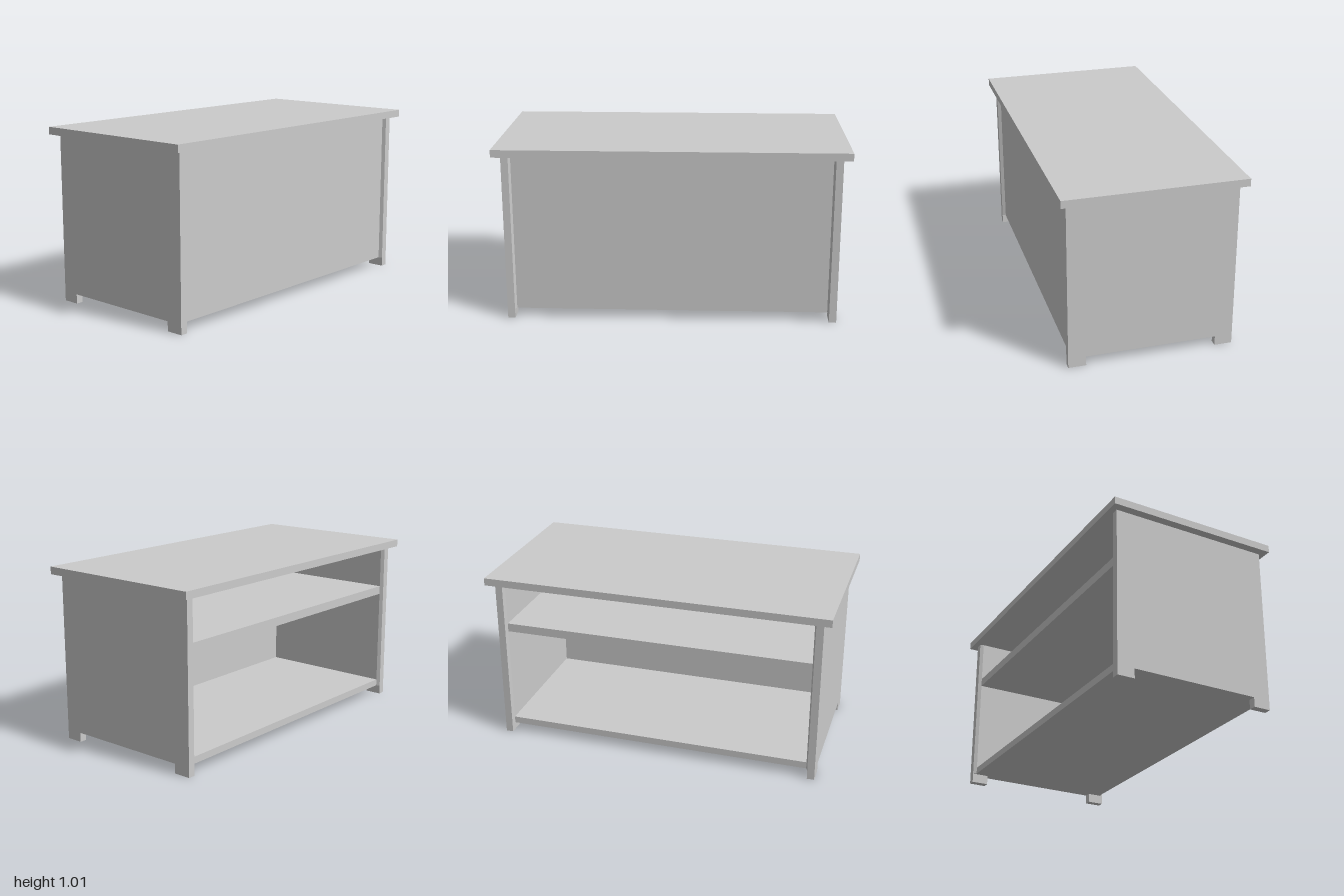
import * as THREE from 'three';

export function createModel() {
  const group = new THREE.Group();
  const material = new THREE.MeshStandardMaterial({ color: 0xcccccc, flatShading: true });

  const add = (name, geometry) => {
    const mesh = new THREE.Mesh(geometry, material);
    mesh.name = name;
    group.add(mesh);
    return mesh;
  };

  // Box given by its extents on each axis
  const board = (name, [x0, x1], [y0, y1], [z0, z1]) =>
    add(name, new THREE.BoxGeometry(x1 - x0, y1 - y0, z1 - z0))
      .position.set((x0 + x1) / 2, (y0 + y1) / 2, (z0 + z1) / 2);

  const outline = (points) => new THREE.Shape(points.map(([a, b]) => new THREE.Vector2(a, b)));
  const extrude = (points, depth) =>
    new THREE.ExtrudeGeometry(outline(points), { depth, bevelEnabled: false });

  const base = 0.055, under = 0.972, inner = 0.9;

  // Table top
  board('tableTop', [-1, 1], [under, 1.015], [-0.507, 0.507]);

  // Front panel, set slightly back between the sides
  board('frontPanel', [-inner, inner], [base, under], [0.38, 0.45]);

  // Shelves, open at the back
  board('bottomShelf', [-inner, inner], [base, 0.095], [-0.45, 0.38]);
  board('middleShelf', [-inner, inner], [0.67, 0.72], [-0.45, 0.38]);

  for (const side of [-1, 1]) {
    const label = side > 0 ? 'left' : 'right';

    // Side panel with a cut-out that leaves a foot at each end
    const panel = extrude([
      [-0.47, 0], [-0.37, 0], [-0.37, base], [0.37, base],
      [0.37, 0], [0.47, 0], [0.47, under], [-0.47, under],
    ], 0.042);
    panel.rotateY(-Math.PI / 2); // outline runs along z, thickness along -x
    panel.translate(side > 0 ? 0.952 : -0.91, 0, 0);
    add(label + 'Side', panel);

    // Inner lining with slanted front and back edges
    const lining = extrude([
      [side * 0.91, -0.47], [side * 0.91, 0.47],
      [side * inner, 0.45], [side * inner, -0.45],
    ], under - base);
    lining.rotateX(-Math.PI / 2);
    lining.translate(0, base, 0);
    add(label + 'Lining', lining);
  }

  return group;
}
